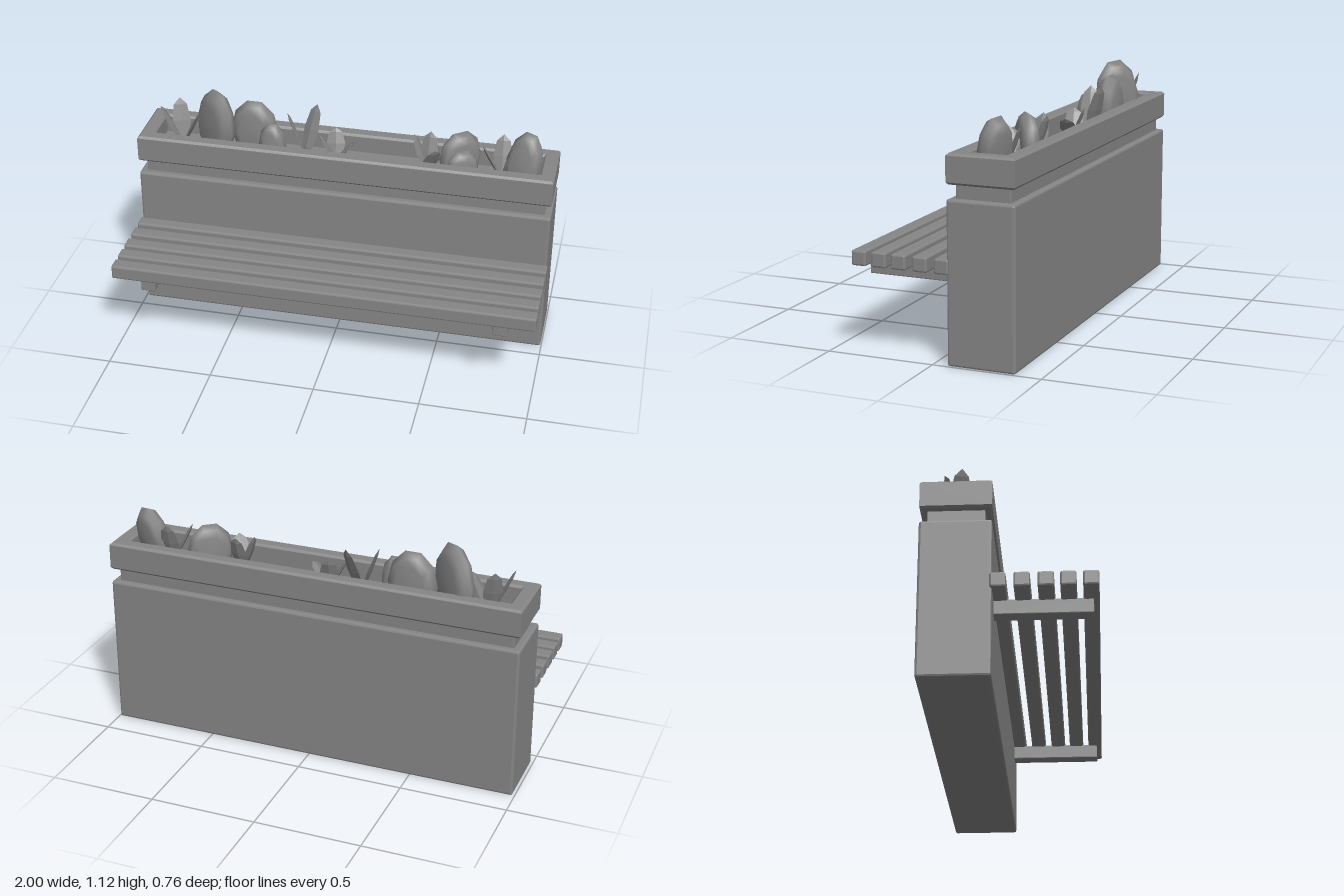
import * as THREE from 'three';
import { RoundedBoxGeometry } from 'three/addons/geometries/RoundedBoxGeometry.js';

const flat = new THREE.MeshStandardMaterial({ color: 0x868686, flatShading: true });
const smooth = new THREE.MeshStandardMaterial({ color: 0x868686 });

// Chamfered box given by its extents
function block(name, [x0, x1], [y0, y1], [z0, z1], bevel) {
  const geo = new RoundedBoxGeometry(x1 - x0, y1 - y0, z1 - z0, 1, bevel);
  const mesh = new THREE.Mesh(geo, flat);
  mesh.name = name;
  mesh.position.set((x0 + x1) / 2, (y0 + y1) / 2, (z0 + z1) / 2);
  return mesh;
}

function rectangle(PathType, hx, hz) {
  const p = new PathType();
  p.moveTo(-hx, -hz);
  p.lineTo(hx, -hz);
  p.lineTo(hx, hz);
  p.lineTo(-hx, hz);
  p.closePath();
  return p;
}

// Hollow rim of the planter, open at the top
function rim() {
  const bevel = 0.01;
  const shape = rectangle(THREE.Shape, 0.993 - bevel, 0.156 - bevel);
  shape.holes.push(rectangle(THREE.Path, 0.922 + bevel, 0.088 + bevel));
  const geo = new THREE.ExtrudeGeometry(shape, {
    depth: 0.133 - 2 * bevel, bevelEnabled: true, bevelSegments: 1, bevelSize: bevel, bevelThickness: bevel,
  });
  geo.rotateX(-Math.PI / 2);
  const mesh = new THREE.Mesh(geo, flat);
  mesh.name = 'planterRim';
  mesh.position.set(0.003, 0.787 + bevel, -0.224);
  return mesh;
}

// Upright disc-shaped shrub pad with a rounded edge; turn is its heading from
// above, lean tips it forward or back, roll swings its outline sideways
function pad(x, z, top, length, thickness, turn, lean, roll) {
  const halfHeight = (top - 0.8) * 0.58;
  const profile = [[0, -1], [0.6, -0.95], [0.85, -0.65], [1, 0], [0.85, 0.65], [0.6, 0.95], [0, 1]];
  const geo = new THREE.LatheGeometry(profile.map(([r, h]) => new THREE.Vector2(r, h)), 10);
  geo.rotateX(Math.PI / 2);
  geo.rotateZ(Math.PI / 10);
  geo.scale(length / 2, halfHeight * 1.03, thickness / 2);
  const mesh = new THREE.Mesh(geo, smooth);
  mesh.name = 'shrubPad';
  mesh.position.set(x, top - halfHeight, z);
  mesh.rotation.set(lean, turn, roll, 'YXZ');
  return mesh;
}

// Thin angular leaf running from a base point to a tip
function leaf(base, tip) {
  const axis = tip.clone().sub(base);
  const length = axis.length();
  const geo = new THREE.SphereGeometry(1, 4, 4);
  geo.scale(0.045, length / 2, 0.009);
  const up = axis.normalize();
  const side = new THREE.Vector3(up.z, 0, -up.x).normalize();
  const face = new THREE.Vector3().crossVectors(side, up);
  const mesh = new THREE.Mesh(geo, flat);
  mesh.name = 'leaf';
  mesh.quaternion.setFromRotationMatrix(new THREE.Matrix4().makeBasis(side, up, face));
  mesh.position.addVectors(base, tip).multiplyScalar(0.5);
  return mesh;
}

export function createModel() {
  const model = new THREE.Group();
  model.name = 'planterBench';

  // Planter: body, recessed neck, soil bed and rim
  model.add(block('planterBody', [-0.99, 0.996], [0, 0.725], [-0.38, -0.068], 0.01));
  model.add(block('planterNeck', [-0.957, 0.964], [0.7, 0.81], [-0.35, -0.099], 0.005));
  model.add(block('soilBed', [-0.94, 0.946], [0.795, 0.83], [-0.325, -0.123], 0.002));
  model.add(rim());

  // Bench: five slats on two brackets
  const seat = new THREE.Group();
  seat.name = 'seat';
  for (const z of [0.346, 0.251, 0.157, 0.057, -0.044]) {
    seat.add(block('slat', [-1, 1], [0.399, 0.467], [z - 0.034, z + 0.034], 0.008));
  }
  for (const x of [-0.831, 0.838]) {
    seat.add(block('bracket', [x - 0.034, x + 0.034], [0.336, 0.406], [-0.1, 0.356], 0.004));
  }
  model.add(seat);

  // Planting: x, z, top, length, thickness, turn, lean, roll
  const plants = new THREE.Group();
  plants.name = 'plants';
  [
    [-0.645, -0.243, 1.12, 0.25, 0.1, -0.65, 0, -0.12],
    [-0.46, -0.27, 1.07, 0.235, 0.1, 0, 0, 0],
    [-0.355, -0.195, 1.0, 0.135, 0.085, 0, 0, 0],
    [0.54, -0.245, 1.035, 0.22, 0.09, 0.67, 0, 0],
    [0.558, -0.19, 0.965, 0.165, 0.08, 0.55, 0, 0],
    [0.842, -0.225, 1.07, 0.18, 0.1, -0.35, -0.18, -0.12],
  ].forEach((p) => plants.add(pad(...p)));

  // Leaf tufts: root x and z, then the tips
  [
    [-0.81, -0.228, [-0.91, 1.025, -0.205], [-0.84, 1.035, -0.29], [-0.72, 1.0, -0.23]],
    [-0.21, -0.255, [-0.29, 1.04, -0.235], [-0.165, 1.055, -0.33]],
    [-0.055, -0.23, [-0.13, 0.955, -0.21], [-0.065, 0.965, -0.285], [0.035, 0.925, -0.23]],
    [0.385, -0.225, [0.32, 1.0, -0.235], [0.395, 1.0, -0.28], [0.435, 0.97, -0.15]],
    [0.74, -0.23, [0.65, 1.0, -0.195], [0.735, 1.015, -0.3], [0.79, 0.99, -0.22]],
  ].forEach(([x, z, ...tips]) => {
    const base = new THREE.Vector3(x, 0.82, z);
    tips.forEach((t) => plants.add(leaf(base, new THREE.Vector3(...t))));
  });
  model.add(plants);

  return model;
}
